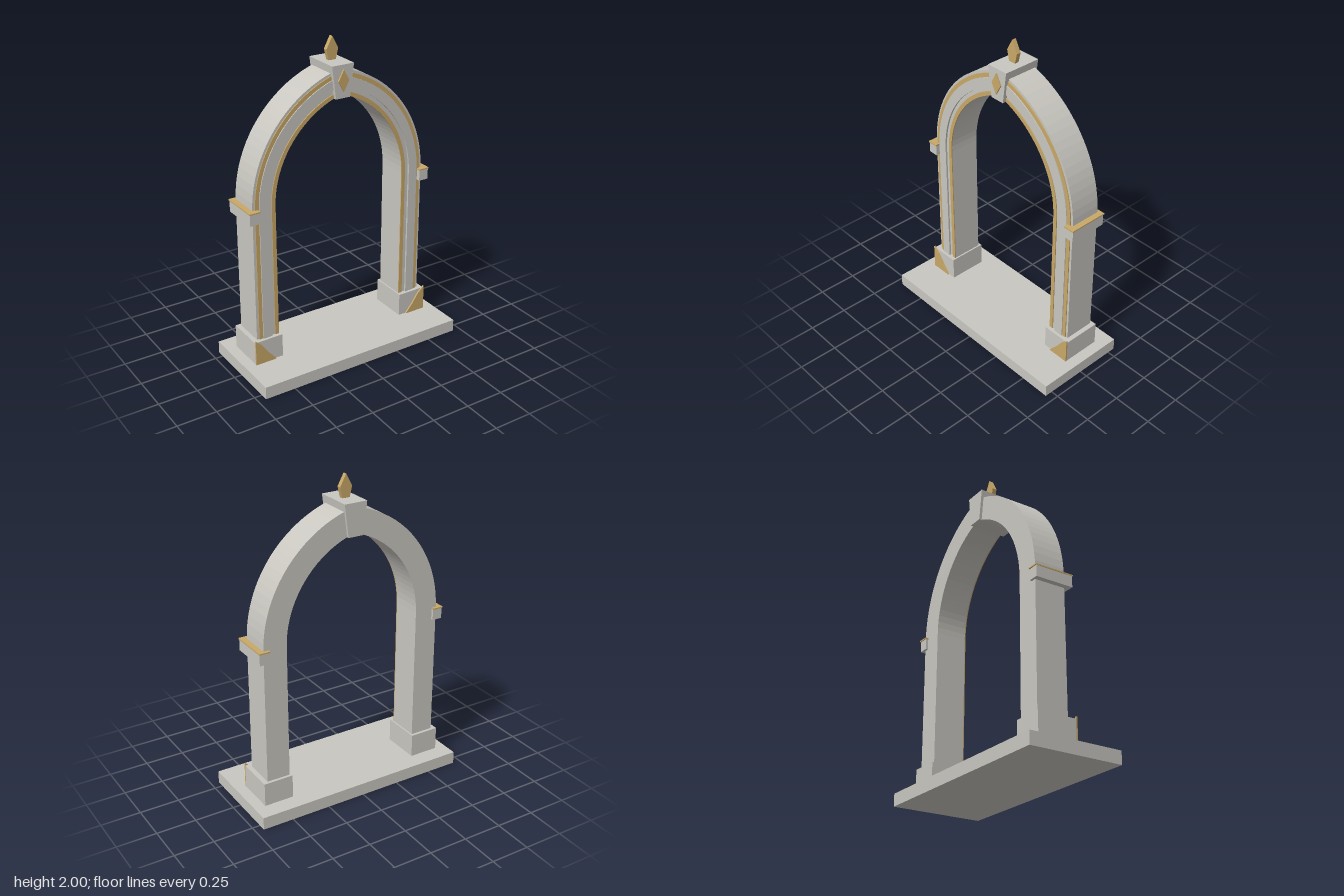
import * as THREE from 'three';

const SPRING = 1.08;   // height where the legs turn into the arch
const OFFSET = 0.17;   // distance of each arc centre beyond the middle line
const SEGMENTS = 20;

const stone = new THREE.MeshStandardMaterial({ color: 0xc9c7c0 });
stone.name = 'stone';
const gold = new THREE.MeshStandardMaterial({ color: 0xc9a868 });
gold.name = 'gold';

// Outline of a pointed arch of half width w, from right foot to left foot
function archLine(w, foot) {
  const r = w + OFFSET;
  const apex = Math.acos(OFFSET / r);
  const right = [[w, foot]];
  for (let i = 0; i <= SEGMENTS; i++) {
    const a = (apex * i) / SEGMENTS;
    right.push([r * Math.cos(a) - OFFSET, SPRING + r * Math.sin(a)]);
  }
  const left = right.slice(0, -1).reverse().map(([x, y]) => [-x, y]);
  return [...right, ...left];
}

function plate(points, z0, z1) {
  const shape = new THREE.Shape(points.map(([x, y]) => new THREE.Vector2(x, y)));
  const geo = new THREE.ExtrudeGeometry(shape, { depth: z1 - z0, bevelEnabled: false });
  return geo.translate(0, 0, z0);
}

function archBand(inner, outer, z0, z1) {
  return plate([...archLine(outer, 0.08), ...archLine(inner, 0.08).reverse()], z0, z1);
}

function box(x0, x1, y0, y1, z0, z1) {
  return new THREE.BoxGeometry(x1 - x0, y1 - y0, z1 - z0)
    .translate((x0 + x1) / 2, (y0 + y1) / 2, (z0 + z1) / 2);
}

export function createModel() {
  const group = new THREE.Group();
  group.name = 'archway';
  const add = (name, geometry, material) => {
    const mesh = new THREE.Mesh(geometry, material);
    mesh.name = name;
    group.add(mesh);
  };

  add('base', box(-0.7, 0.7, 0, 0.08, -0.3, 0.3), stone);

  // Arch body with stepped mouldings on its front
  add('archBody', archBand(0.45, 0.6, -0.175, 0.025), stone);
  add('outerTrim', archBand(0.56, 0.585, 0.025, 0.031), gold);
  add('frontMoulding', archBand(0.5, 0.56, 0.025, 0.037), stone);
  add('innerTrim', archBand(0.45, 0.475, 0.025, 0.031), gold);

  // Plinths, imposts and corner ornaments on both sides
  for (const s of [1, -1]) {
    const side = s > 0 ? 'left' : 'right';
    const sideBox = (x0, x1, ...rest) =>
      s > 0 ? box(x0, x1, ...rest) : box(-x1, -x0, ...rest);
    add(side + 'Plinth', sideBox(0.44, 0.63, 0.08, 0.23, -0.193, 0.055), stone);
    add(side + 'Impost', sideBox(0.568, 0.633, 1.01, 1.08, -0.19, 0.057), stone);
    add(side + 'ImpostCap', sideBox(0.566, 0.636, 1.08, 1.088, -0.196, 0.061), gold);
    const corner = [[0.63, 0.08], [0.63, 0.245], [0.585, 0.205], [0.54, 0.14], [0.49, 0.08]];
    add(side + 'CornerOrnament', plate(corner.map(([x, y]) => [s * x, y]), 0.055, 0.065), gold);
  }

  // Keystone, its diamond and the finial
  add('keystone', plate([[-0.048, 1.66], [0.048, 1.66], [0.074, 1.86], [-0.074, 1.86]], -0.192, 0.053), stone);
  add('keystoneDiamond', plate([[0, 1.7], [0.036, 1.766], [0, 1.833], [-0.036, 1.766]], 0.053, 0.0625), gold);
  add('finial', plate([[-0.024, 1.86], [0.024, 1.86], [0.04, 1.925], [0, 2], [-0.04, 1.925]], -0.088, -0.06), gold);

  return group;
}
